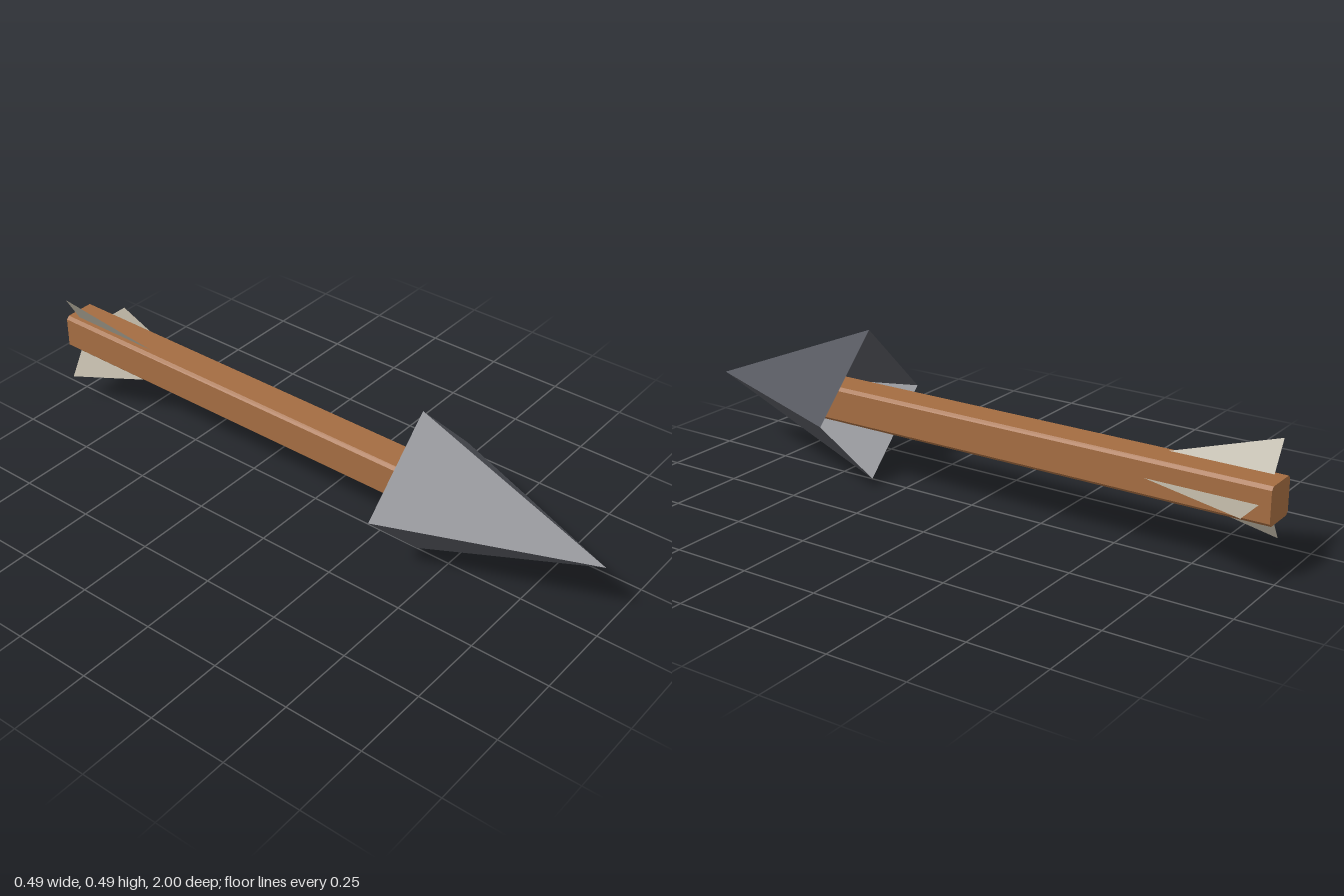
import * as THREE from 'three';

const AXIS_Y = 0.249; // height of the arrow's centre line

export function createModel() {
  const wood = new THREE.MeshStandardMaterial({ color: 0xa36c41, flatShading: true });
  wood.name = 'wood';
  const iron = new THREE.MeshStandardMaterial({ color: 0x55575e, flatShading: true, side: THREE.DoubleSide });
  iron.name = 'dark iron';
  const feather = new THREE.MeshStandardMaterial({ color: 0xb2ab9b, flatShading: true, side: THREE.DoubleSide });
  feather.name = 'feather';

  const arrow = new THREE.Group();
  arrow.name = 'arrow';
  arrow.position.y = AXIS_Y;
  const add = (name, geometry, material) => {
    const mesh = new THREE.Mesh(geometry, material);
    mesh.name = name;
    arrow.add(mesh);
    return mesh;
  };

  // Hollow four-sided head, pointing forward
  const head = new THREE.ConeGeometry(0.247, 0.615, 4, 1, true);
  head.rotateX(Math.PI / 2).translate(0, 0, 0.385 + 0.615 / 2);
  add('arrowHead', head, iron);

  // Square shaft with chamfered edges, running up inside the head
  const a = 0.058, b = 0.048;
  const section = new THREE.Shape([
    [a, -b], [a, b], [b, a], [-b, a], [-a, b], [-a, -b], [-b, -a], [b, -a],
  ].map(([x, y]) => new THREE.Vector2(x, y)));
  const shaft = new THREE.ExtrudeGeometry(section, { depth: 1.62, bevelEnabled: false });
  add('shaft', shaft.translate(0, 0, -1), wood);

  // Three flat triangular fins, 120 degrees apart; shape x is radius, shape y becomes z
  const outline = new THREE.Shape([
    new THREE.Vector2(0, -0.44),
    new THREE.Vector2(0, -0.965),
    new THREE.Vector2(0.17, -0.965),
  ]);
  const fin = new THREE.ShapeGeometry(outline).rotateX(Math.PI / 2);
  for (let i = 0; i < 3; i++) {
    add('fletching' + (i + 1), fin, feather).rotation.z = (i * Math.PI * 2) / 3;
  }

  const model = new THREE.Group();
  model.add(arrow);
  return model;
}
